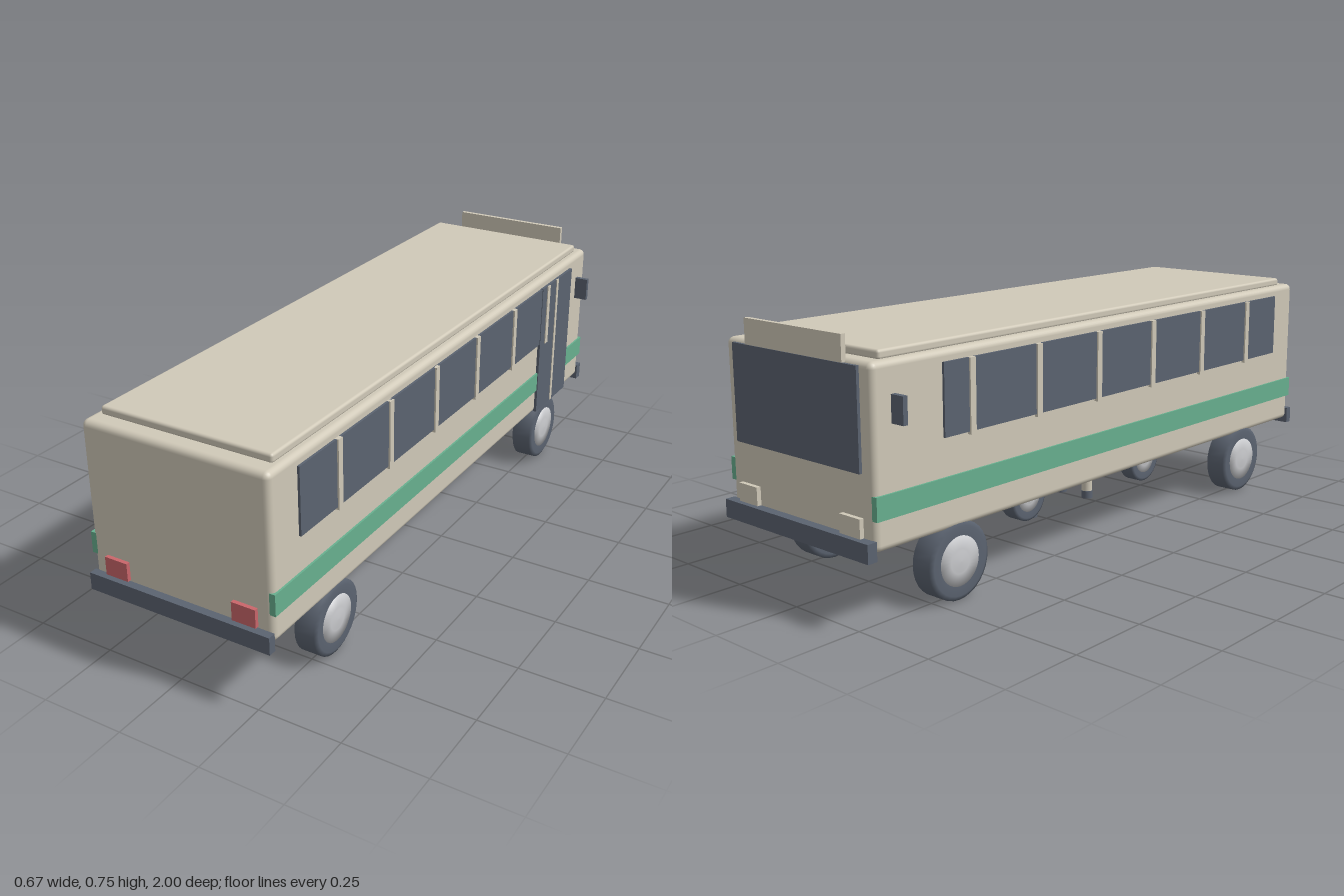
import * as THREE from 'three';
import { RoundedBoxGeometry } from 'three/addons/geometries/RoundedBoxGeometry.js';

const material = (name, color) => {
  const m = new THREE.MeshStandardMaterial({ color });
  m.name = name;
  return m;
};

export function createModel() {
  const cream = material('cream paint', 0xd0c9b8);
  const dark = material('dark slate', 0x5b6370);
  const green = material('green stripe', 0x68b08f);
  const red = material('red lamp', 0xc9666a);
  const silver = material('silver metal', 0xc9cacd);

  const bus = new THREE.Group();
  bus.name = 'bus';

  const add = (name, geometry, mat, x, y, z, parent = bus) => {
    const mesh = new THREE.Mesh(geometry, mat);
    mesh.name = name;
    mesh.position.set(x, y, z);
    parent.add(mesh);
    return mesh;
  };
  // Box given by its minimum and maximum along each axis
  const box = (name, mat, [x0, x1], [y0, y1], [z0, z1]) =>
    add(name, new THREE.BoxGeometry(x1 - x0, y1 - y0, z1 - z0), mat,
      (x0 + x1) / 2, (y0 + y1) / 2, (z0 + z1) / 2);
  // The same box on one side of the bus, side = 1 or -1
  const sideBox = (name, mat, side, [x0, x1], y, z) =>
    box(name, mat, side > 0 ? [x0, x1] : [-x1, -x0], y, z);

  // Body shell, roof panel and waist stripe
  add('body', new RoundedBoxGeometry(0.584, 0.482, 1.948, 3, 0.018), cream, 0, 0.445, 0.002);
  add('roofPanel', new RoundedBoxGeometry(0.536, 0.026, 1.85, 2, 0.008), cream, 0, 0.696, -0.002);
  box('waistStripe', green, [-0.298, 0.298], [0.288, 0.352], [-0.971, 0.975]);

  // Bumpers
  box('tailBumper', dark, [-0.293, 0.293], [0.186, 0.238], [0.976, 1]);
  box('noseBumper', dark, [-0.293, 0.293], [0.186, 0.238], [-1, -0.97]);

  // Windscreen and destination board
  box('windscreen', dark, [-0.25, 0.25], [0.405, 0.676], [-0.982, -0.973]);
  box('destinationBoard', cream, [-0.195, 0.195], [0.675, 0.747], [-0.98, -0.966]);

  // Windows, pillars, mirrors and lamps on both sides
  for (const side of [1, -1]) {
    sideBox('sideWindows', dark, side, [0.291, 0.299], [0.458, 0.655], [-0.735, 0.855]);
    for (let i = 0; i < 6; i++) {
      const z = -0.635 + i * 0.262;
      sideBox('windowPillar', cream, side, [0.29, 0.304], [0.45, 0.655], [z - 0.01, z + 0.01]);
    }
    sideBox('mirror', dark, side, [0.29, 0.335], [0.527, 0.601], [-0.91, -0.895]);
    sideBox('tailLamp', red, side, [0.17, 0.244], [0.242, 0.297], [0.97, 0.988]);
    sideBox('headLamp', cream, side, [0.17, 0.248], [0.235, 0.29], [-0.985, -0.965]);
  }

  // Entrance door on the left side
  box('door', dark, [0.29, 0.301], [0.208, 0.656], [-0.832, -0.59]);
  box('doorDivider', cream, [0.29, 0.303], [0.21, 0.656], [-0.715, -0.7]);

  // Wheels: tyre and hub turned about the axle
  const profile = (pts) => new THREE.LatheGeometry(pts.map(([r, h]) => new THREE.Vector2(r, h)), 32);
  const wheel = (name, radius, hubRadius, half, x, y, z) => {
    const group = new THREE.Group();
    group.name = name;
    group.position.set(x, y, z);
    group.rotation.z = -Math.PI / 2;
    bus.add(group);
    const bevel = radius * 0.06;
    add('tyre', profile([[0, -half + 0.004], [hubRadius, -half + 0.003], [radius * 0.88, -half],
      [radius, -half + bevel], [radius, half - bevel], [radius * 0.88, half],
      [hubRadius, half - 0.003], [0, half - 0.004]]), dark, 0, 0, 0, group);
    const cap = half + 0.004;
    add('hub', profile([[0, -cap], [hubRadius * 0.4, -cap + 0.001], [hubRadius * 0.5, -half],
      [hubRadius, -half + 0.001], [hubRadius, half - 0.001], [hubRadius * 0.5, half],
      [hubRadius * 0.4, cap - 0.001], [0, cap]]), silver, 0, 0, 0, group);
  };
  for (const side of [1, -1]) {
    for (const z of [0.685, -0.682]) wheel('roadWheel', 0.11, 0.07, 0.037, side * 0.257, 0.11, z);
    for (const z of [0.284, -0.279]) wheel('innerWheel', 0.072, 0.044, 0.027, side * 0.152, 0.171, z);
    // Support legs with dark feet
    for (const z of [0.138, -0.132]) {
      add('supportLeg', new THREE.CylinderGeometry(0.017, 0.017, 0.145, 20), cream, side * 0.054, 0.145, z);
      add('legFoot', new THREE.CylinderGeometry(0.018, 0.018, 0.025, 20), dark, side * 0.054, 0.0625, z);
    }
  }

  // Turntable under the floor
  add('turntable', new THREE.CylinderGeometry(0.071, 0.071, 0.045, 32), dark, 0, 0.19, 0.002);
  add('turntablePlate', new THREE.CylinderGeometry(0.073, 0.073, 0.007, 32), silver, 0, 0.1645, 0.002);

  return bus;
}
